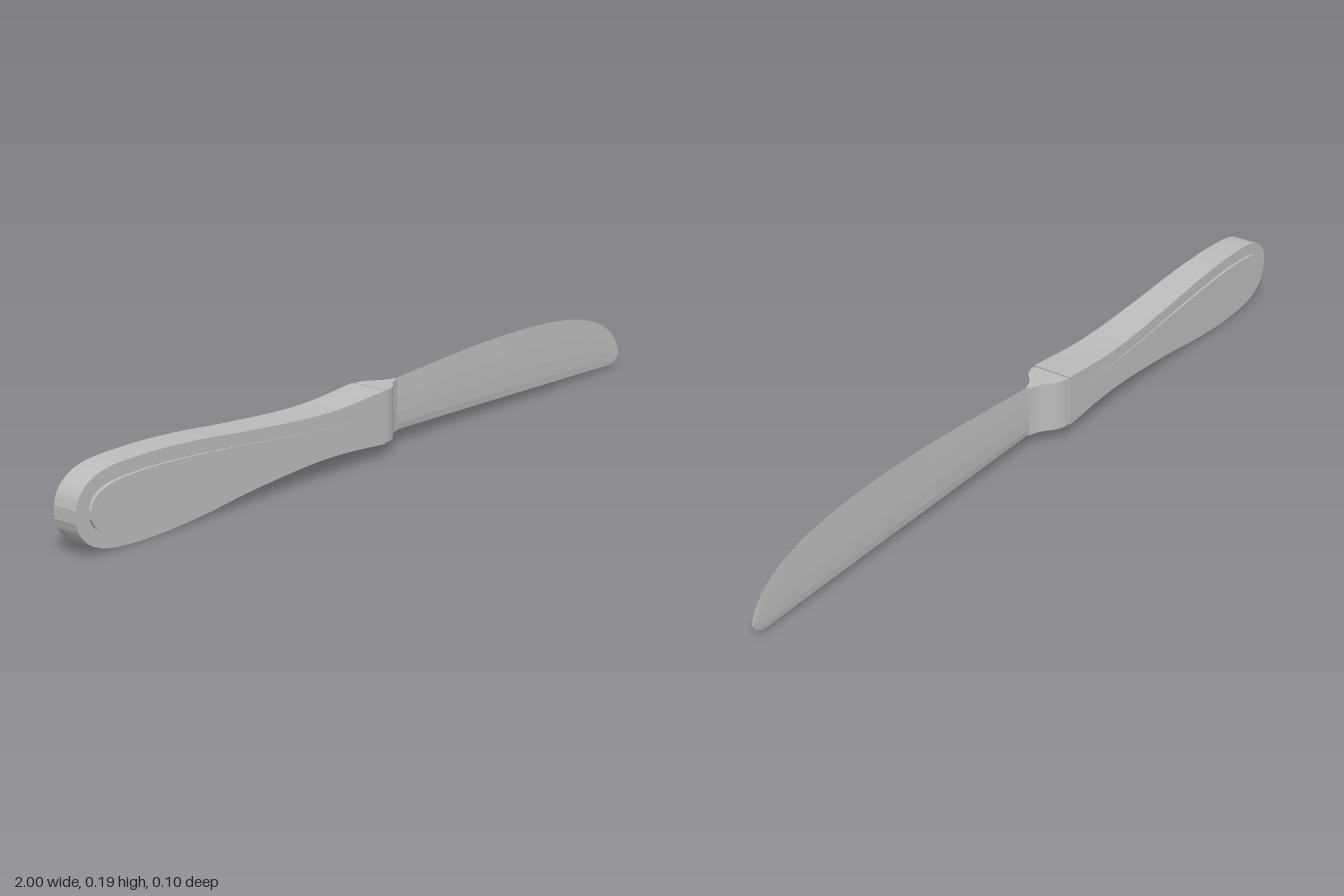
import * as THREE from 'three';

const steel = new THREE.MeshStandardMaterial({ color: 0xbcbcbc });
steel.name = 'steel';

// Skin rings of [y, z] along x. Each ring edge gets its own strip, so edges stay crisp lengthwise.
function loft(sections) {
  const pos = [], idx = [];
  const n = sections[0].ring.length, m = sections.length;
  const put = (s, i) => pos.push(s.x, s.ring[i % n][0], s.ring[i % n][1]);
  for (let i = 0; i < n; i++) {
    const base = pos.length / 3;
    for (const s of sections) { put(s, i); put(s, i + 1); }
    for (let j = 0; j < m - 1; j++) {
      const a = base + j * 2;
      idx.push(a, a + 1, a + 3, a, a + 3, a + 2);
    }
  }
  // End caps
  for (const [s, flip] of [[sections[0], true], [sections[m - 1], false]]) {
    const base = pos.length / 3;
    for (let i = 0; i < n; i++) put(s, i);
    for (let i = 1; i < n - 1; i++) idx.push(base, base + (flip ? i + 1 : i), base + (flip ? i : i + 1));
  }
  const g = new THREE.BufferGeometry();
  g.setAttribute('position', new THREE.Float32BufferAttribute(pos, 3));
  g.setIndex(idx);
  g.computeVertexNormals();
  return g;
}

// Smooth the stations [x, bottom, top], then make a ring at each
function outline(stations, count, ringAt) {
  const curve = new THREE.CatmullRomCurve3(stations.map(s => new THREE.Vector3(...s)), false, 'centripetal');
  return curve.getPoints(count).map(p => ({ x: p.x, ring: ringAt(p.x, p.y, p.z) }));
}

const slab = (yb, yt, h) => [[yb, h], [yb, -h], [yt, -h], [yt, h]];

export function createModel() {
  const knife = new THREE.Group();
  knife.name = 'tableKnife';
  const add = (name, geometry) => {
    const mesh = new THREE.Mesh(geometry, steel);
    mesh.name = name;
    knife.add(mesh);
    return mesh;
  };

  // Handle: flat sided, thickening toward the collar
  add('handle', loft(outline([
    [-1, 0.08, 0.11], [-0.99, 0.053, 0.137], [-0.965, 0.028, 0.162], [-0.92, 0.01, 0.18],
    [-0.8, 0.002, 0.187], [-0.65, 0.011, 0.181], [-0.5, 0.029, 0.167], [-0.3, 0.044, 0.153],
    [-0.2, 0.044, 0.153], [-0.055, 0.034, 0.164],
  ], 72, (x, yb, yt) => slab(yb, yt, 0.033 + 0.019 * (x + 1) / 0.945))));

  // Raised teardrop panel on both faces, blending into the handle near the neck
  add('handlePanel', loft(outline([
    [-0.967, 0.085, 0.105], [-0.955, 0.064, 0.128], [-0.92, 0.046, 0.147], [-0.83, 0.036, 0.156],
    [-0.7, 0.042, 0.153], [-0.55, 0.058, 0.142], [-0.35, 0.08, 0.125], [-0.12, 0.1, 0.108],
  ], 60, (x, yb, yt) => slab(yb, yt, 0.042 + 0.0088 * (x + 0.967) / 0.847))));

  // Narrow groove between handle and collar
  const groove = add('grooveCore', new THREE.BoxGeometry(0.012, 0.12, 0.09));
  groove.position.set(-0.051, 0.099, 0);

  // Collar: sweeps in from handle thickness to blade thickness
  const collarCurve = new THREE.CatmullRomCurve3([
    [-0.048, 0.05], [-0.03, 0.047], [-0.012, 0.038], [0.006, 0.023], [0.022, 0.012], [0.045, 0.005],
  ].map(([x, h]) => new THREE.Vector3(x, h, 0)));
  add('collar', loft(collarCurve.getPoints(24).map(p => ({ x: p.x, ring: slab(0.036, 0.163, p.y) }))));

  // Blade: lens-shaped section, thinning toward the rounded tip
  const lens = [[0, 0.15], [0.12, 0.75], [0.35, 1], [0.65, 0.75], [1, 0.08]];
  add('blade', loft(outline([
    [0.035, 0.036, 0.163], [0.2, 0.032, 0.174], [0.4, 0.027, 0.185], [0.55, 0.023, 0.187],
    [0.7, 0.019, 0.181], [0.82, 0.016, 0.164], [0.91, 0.013, 0.135], [0.965, 0.012, 0.1],
    [0.99, 0.018, 0.071], [1, 0.034, 0.048],
  ], 72, (x, yb, yt) => {
    const half = 0.0055 - 0.003 * x;
    const side = sign => lens.map(([f, w]) => [yb + (yt - yb) * f, sign * half * w]);
    return [...side(-1), ...side(1).reverse()];
  })));

  return knife;
}
